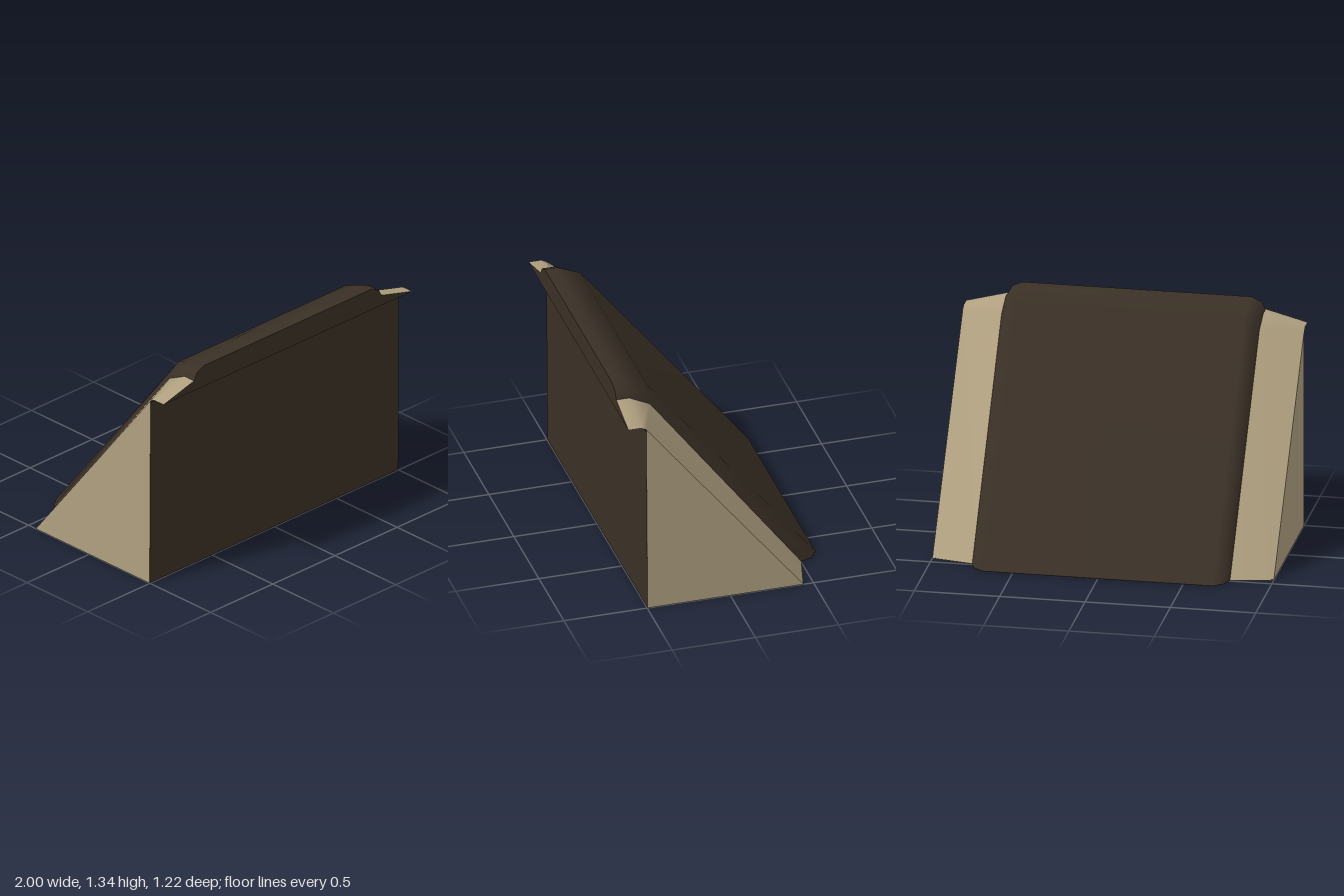
import * as THREE from 'three';

const dark = new THREE.MeshStandardMaterial({ color: 0x3a3026, side: THREE.DoubleSide });
dark.name = 'dark brown';
const tan = new THREE.MeshStandardMaterial({ color: 0xb0a080, side: THREE.DoubleSide });
tan.name = 'tan';

// Profiles from the front lip to the toe at the back, as [y, z]
const rim = [[1.205, 0.612], [1.205, 0.535], [1.19, 0.505], [0, -0.44]];
const edge = [[1.27, 0.612], [1.27, 0.535], [1.21, 0.41], [0.005, -0.5]];
const crown = [[1.34, 0.612], [1.34, 0.535], [1.285, 0.4], [0.005, -0.612]];
const shoulder = edge.map((p, i) => p.map((v, k) => v + (crown[i][k] - v) * 0.62));

// Skin over sections, each { x, pts }, ordered from -x to +x
function skin(sections) {
  const pos = [], idx = [], cols = sections.length, rows = sections[0].pts.length;
  for (let r = 0; r < rows; r++) {
    for (const s of sections) pos.push(s.x, s.pts[r][0], s.pts[r][1]);
  }
  for (let r = 0; r < rows - 1; r++) {
    for (let c = 0; c < cols - 1; c++) {
      const a = r * cols + c, b = a + cols;
      idx.push(a, a + 1, b, a + 1, b + 1, b);
    }
  }
  const g = new THREE.BufferGeometry();
  g.setAttribute('position', new THREE.Float32BufferAttribute(pos, 3));
  g.setIndex(idx);
  g.computeVertexNormals();
  return g;
}

function flat(points) {
  return new THREE.ShapeGeometry(new THREE.Shape(points.map(p => new THREE.Vector2(p[0], p[1]))));
}

export function createModel() {
  const model = new THREE.Group();
  const add = (name, geometry, material) => {
    const mesh = new THREE.Mesh(geometry, material);
    mesh.name = name;
    model.add(mesh);
  };

  // Raised dark runner with bevelled sides
  add('slopedRunner', skin([
    { x: -0.755, pts: edge }, { x: -0.73, pts: shoulder }, { x: -0.67, pts: crown },
    { x: 0.67, pts: crown }, { x: 0.73, pts: shoulder }, { x: 0.755, pts: edge },
  ]), dark);

  // Tan slopes and triangular walls on both sides
  add('leftSlope', skin([{ x: 0.755, pts: edge }, { x: 1, pts: rim }]), tan);
  add('rightSlope', skin([{ x: -1, pts: rim }, { x: -0.755, pts: edge }]), tan);
  const side = [[0.497, 0], [0.505, 1.19], [-0.44, 0]];
  add('leftWall', flat(side.map(([z, y]) => [-z, y])).rotateY(Math.PI / 2).translate(1, 0, 0), tan);
  add('rightWall', flat(side).rotateY(-Math.PI / 2).translate(-1, 0, 0), tan);

  // Front wall bending out under the lip
  const front = [[0, 0.497], [1.18, 0.505], [1.205, 0.535], [1.205, 0.612]];
  const wall = skin([{ x: -1, pts: front }, { x: 1, pts: front }]).toNonIndexed();
  wall.computeVertexNormals();
  add('frontWall', wall, dark);

  // Half outline of a cap, mirrored across x; k picks y or z of the profiles
  const outline = (i, k) => {
    const half = [[1, rim[i][k]], [0.755, edge[i][k]], [0.73, shoulder[i][k]], [0.67, crown[i][k]]];
    return [...half, ...half.map(([x, v]) => [-x, v]).reverse()];
  };
  add('lipFace', flat(outline(0, 0)).translate(0, 0, 0.612), dark);
  add('toeUnderside', flat(outline(3, 1)).rotateX(Math.PI / 2).translate(0, 0.003, 0), dark);

  return model;
}
